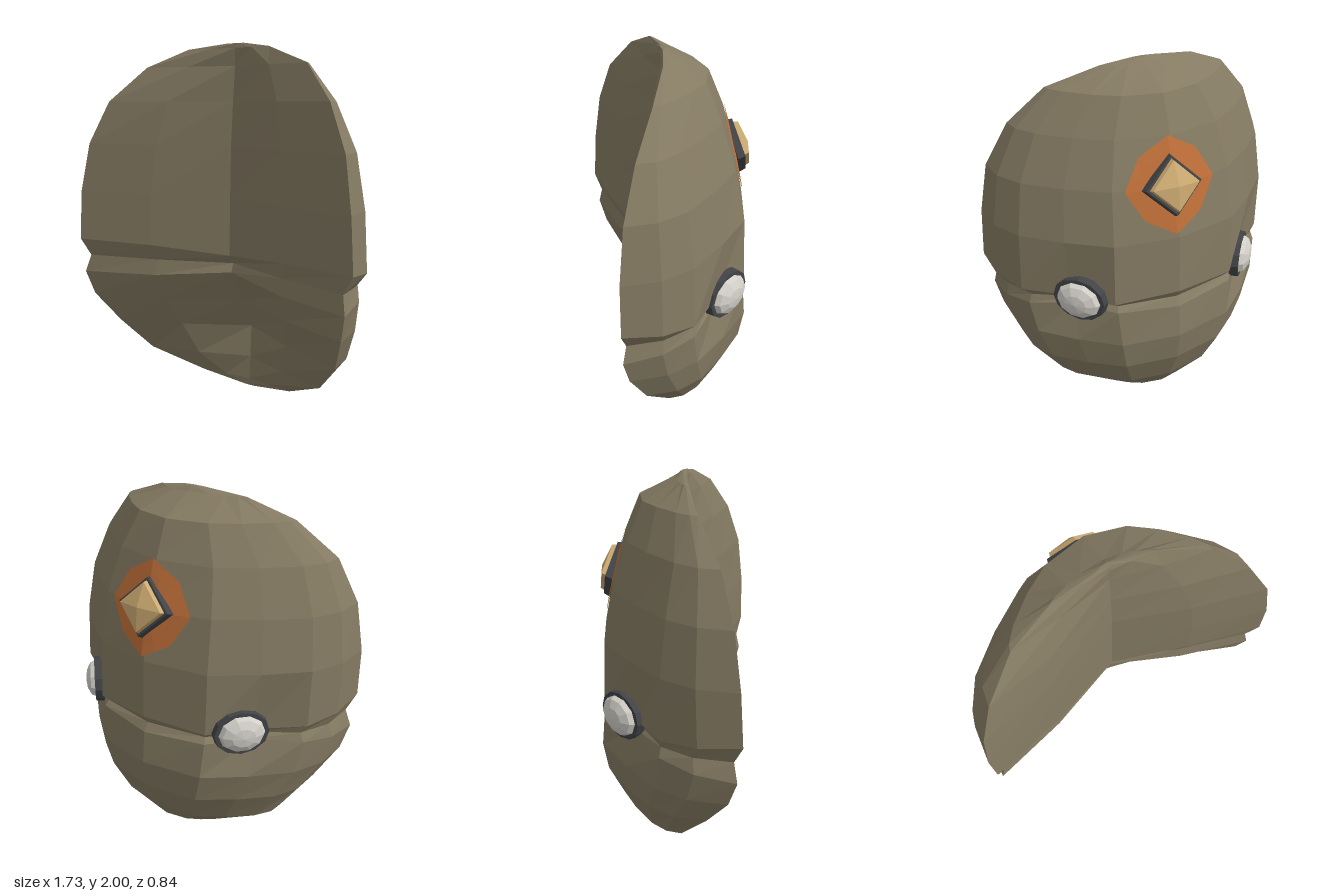
import * as THREE from 'three';

const mat = (name, color) => {
  const m = new THREE.MeshStandardMaterial({ color });
  m.name = name;
  return m;
};

// Splits shared corners so every facet is flat
function facet(geometry) {
  const g = geometry.index ? geometry.toNonIndexed() : geometry;
  g.computeVertexNormals();
  return g;
}

function part(name, geometry, material) {
  const m = new THREE.Mesh(facet(geometry), material);
  m.name = name;
  return m;
}

function indexed(points, faces) {
  const g = new THREE.BufferGeometry();
  g.setAttribute('position', new THREE.Float32BufferAttribute(points.flat(), 3));
  g.setIndex(faces);
  return g;
}

// Crescent cross-sections, top to bottom. k flattens the back arc,
// g marks the slit: upper lip 1, bottom of slit 0, lower lip -1.
const rows = [
  { y: 2, w: [0.06, 0.05], rim: [0.06, 0.06], front: 0.065, back: 0.04, k: 1 },
  { y: 1.975, w: [0.30, 0.22], rim: [0.09, 0.08], front: 0.07, back: 0.01, k: 0.8 },
  { y: 1.88, w: [0.54, 0.49], rim: [0.17, 0.16], front: 0.07, back: -0.18, k: 0.7 },
  { y: 1.69, w: [0.73, 0.67], rim: [0.29, 0.26], front: 0.09, back: -0.26, k: 0.35 },
  { y: 1.45, w: [0.83, 0.79], rim: [0.36, 0.33], front: 0.11, back: -0.33, k: 0.1 },
  { y: 1.17, w: [0.87, 0.84], rim: [0.40, 0.36], front: 0.12, back: -0.385, k: 0 },
  { g: 1, w: [0.87, 0.86], rim: [0.42, 0.365], front: 0.13, back: -0.40, k: 0 },
  { g: 0, w: [0.83, 0.80], rim: [0.38, 0.34], front: 0.09, back: -0.37, k: 0 },
  { g: -1, w: [0.86, 0.82], rim: [0.40, 0.36], front: 0.11, back: -0.40, k: 0 },
  { y: 0.55, w: [0.83, 0.79], rim: [0.36, 0.33], front: 0.0, back: -0.42, k: 0 },
  { y: 0.37, w: [0.73, 0.72], rim: [0.25, 0.24], front: -0.10, back: -0.39, k: 0 },
  { y: 0.18, w: [0.60, 0.565], rim: [0.11, 0.10], front: -0.09, back: -0.31, k: 0.3 },
  { y: 0.045, w: [0.31, 0.30], rim: [-0.04, -0.04], front: -0.08, back: -0.21, k: 0.8 },
  { y: 0, w: [0.03, 0.03], rim: [-0.08, -0.08], front: -0.08, back: -0.11, k: 1 },
];

// Points round one cross-section: u = share of half width, v = share of depth, gap = slit opening
const frontHalf = [[1, 1, 1], [0.5, 0.58, 0.9], [0, 0, 0.5]];
const backHalf = [[0.98, 0.74, 0.75], [0.88, 0.52, 0.5], [0.66, 0.29, 0.3], [0.41, 0.08, 0.3], [0, 0, 0.5]];

function ring(row) {
  const point = (side, back) => ([u, v, gap]) => {
    const s = side < 0 ? 0 : 1;
    const base = back ? row.back : row.front;
    const depth = back ? THREE.MathUtils.lerp(v, u * u, row.k) : v;
    const slit = row.g !== undefined;
    const socket = back && slit && u === 0.66;
    return [
      side * u * row.w[s] * (socket ? 0.93 : 1),
      slit ? 0.79 + row.g * gap * 0.1 : row.y,
      base + (row.rim[s] - base) * depth + (socket ? 0.03 : 0),
    ];
  };
  return [
    ...frontHalf.map(point(-1, false)),
    ...frontHalf.slice(0, 2).reverse().map(point(1, false)),
    ...backHalf.map(point(1, true)),
    ...backHalf.slice(0, 4).reverse().map(point(-1, true)),
  ];
}

function shellGeometry() {
  const rings = rows.map(ring);
  const n = rings[0].length;
  const points = rings.flat();
  const faces = [];
  for (let r = 0; r < rings.length - 1; r++) {
    for (let i = 0; i < n; i++) {
      const j = (i + 1) % n;
      const up = r * n, low = up + n;
      faces.push(low + i, low + j, up + j, low + i, up + j, up + i);
    }
  }
  const last = (rings.length - 1) * n;
  for (let i = 1; i < n - 1; i++) {
    faces.push(0, i, i + 1, last, last + i + 1, last + i);
  }
  return indexed(points, faces);
}

// Thin painted octagon that follows the back of the shell
function patchGeometry(shell) {
  const ray = new THREE.Raycaster();
  const onShell = (x, y) => {
    ray.set(new THREE.Vector3(x, y, -2), new THREE.Vector3(0, 0, 1));
    return [x, y, ray.intersectObject(shell)[0].point.z - 0.008];
  };
  const cx = 0.015, cy = 1.445, n = 16, steps = 4;
  const points = [onShell(cx, cy)];
  const faces = [];
  const corner = (k) => {
    const a = (k * Math.PI) / 4;
    const r = k % 2 ? 0.225 : 0.25;
    return [Math.cos(a) * r, Math.sin(a) * r];
  };
  for (let s = 1; s <= steps; s++) {
    for (let i = 0; i < n; i++) {
      const a = corner(Math.floor(i / 2)), b = corner(Math.ceil(i / 2));
      const t = s / steps;
      points.push(onShell(cx + ((a[0] + b[0]) / 2) * t, cy + ((a[1] + b[1]) / 2) * t));
      const j = (i + 1) % n;
      const out = 1 + (s - 1) * n, inn = out - n;
      if (s === 1) faces.push(0, out + j, out + i);
      else faces.push(inn + i, out + j, out + i, inn + i, inn + j, out + j);
    }
  }
  return indexed(points, faces);
}

export function createModel() {
  const model = new THREE.Group();
  model.name = 'mask';
  const stone = mat('stone brown', 0x857b63);
  const orange = mat('orange paint', 0xc17039);
  const amber = mat('pale amber', 0xcdab72);
  const white = mat('eye white', 0xd2cfc8);
  const dark = mat('dark grey', 0x414346);

  const shell = part('shell', shellGeometry(), stone);
  model.add(shell, part('foreheadPatch', patchGeometry(shell), orange));

  // Diamond-shaped gem in a dark frame
  const gem = new THREE.Group();
  gem.name = 'foreheadGem';
  const frame = new THREE.CylinderGeometry(0.155, 0.165, 0.04, 4).rotateX(Math.PI / 2);
  const base = new THREE.CylinderGeometry(0.13, 0.145, 0.05, 4).rotateX(Math.PI / 2).translate(0, 0, 0.02);
  const tip = new THREE.ConeGeometry(0.13, 0.025, 4).rotateX(Math.PI / 2).translate(0, 0, 0.0575);
  gem.add(part('gemFrame', frame, dark), part('gemBase', base, amber), part('gemTip', tip, amber));
  gem.position.set(0.02, 1.455, -0.335);
  gem.lookAt(0.02, 1.455 + 0.3, -1.335);
  model.add(gem);

  // Oval eyes in dark sockets, one on each side of the back
  for (const side of [-1, 1]) {
    const eye = new THREE.Group();
    eye.name = side > 0 ? 'leftEye' : 'rightEye';
    const ball = new THREE.SphereGeometry(1, 10, 6).rotateX(Math.PI / 2).scale(0.13, 0.11, 0.06);
    const socket = new THREE.CylinderGeometry(1, 1.04, 1, 12).rotateX(Math.PI / 2).scale(0.15, 0.127, 0.05);
    eye.add(part('eyeball', ball.translate(0, 0, 0.02), white), part('eyeSocket', socket, dark));
    eye.position.set(side * 0.495, 0.83, -0.205);
    eye.rotation.y = Math.atan2(side * 0.74, -0.67);
    model.add(eye);
  }
  return model;
}
